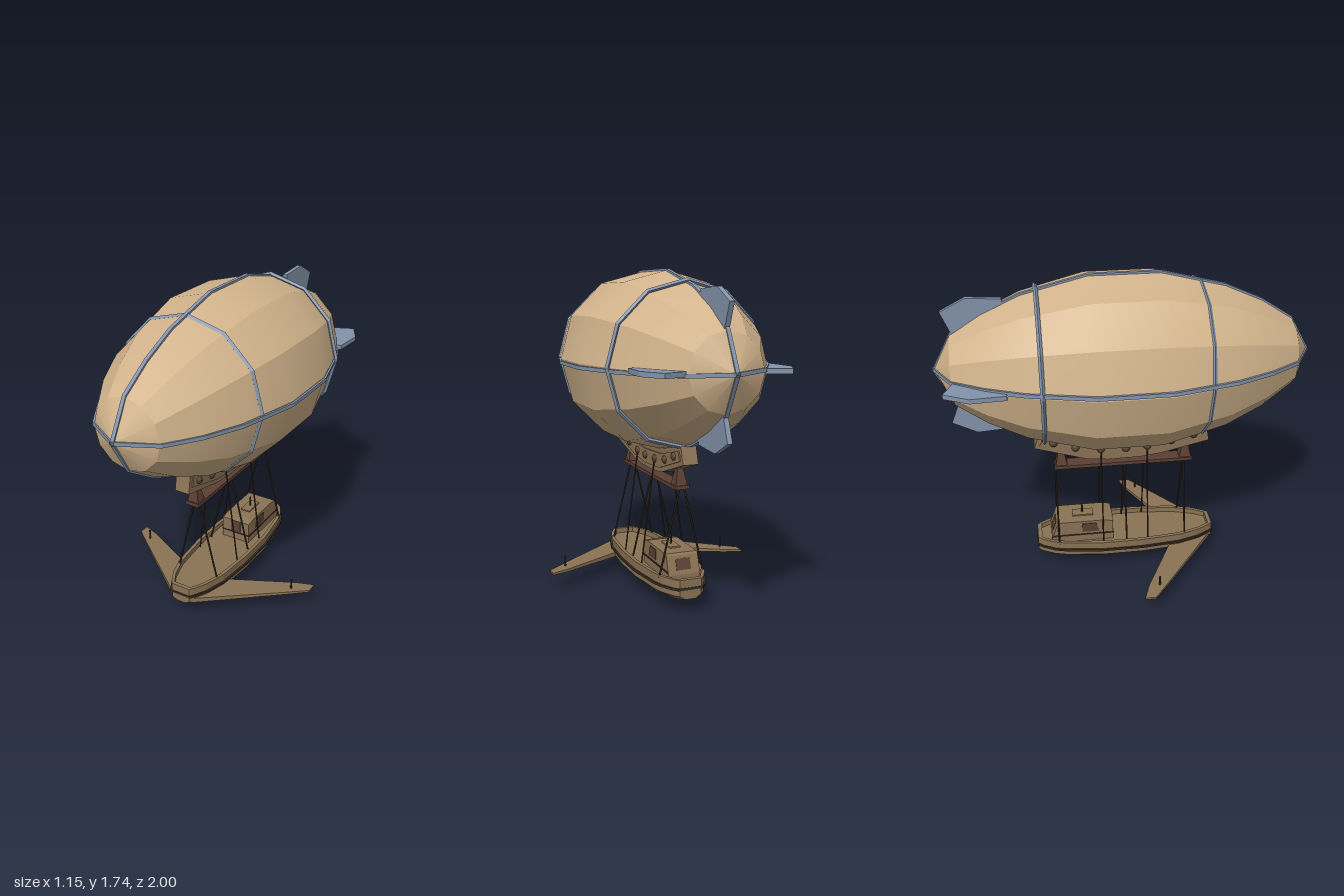
import * as THREE from 'three';
import { toCreasedNormals } from 'three/addons/utils/BufferGeometryUtils.js';

const mat = (name, color, extra = {}) => {
  const m = new THREE.MeshStandardMaterial({ color, ...extra });
  m.name = name;
  return m;
};

// Flat plate from a side outline of [z, y] points, centred on x = 0
function plate(points, width, hole) {
  const shape = new THREE.Shape(points.map(p => new THREE.Vector2(...p)));
  if (hole) shape.holes.push(new THREE.Path(hole.map(p => new THREE.Vector2(...p))));
  return new THREE.ExtrudeGeometry(shape, { depth: width, bevelEnabled: false })
    .translate(0, 0, -width / 2).rotateY(-Math.PI / 2);
}

// Faceted skin through closed cross-sections { z, pts } ordered from back to front
function loft(sections) {
  const pos = [];
  const n = sections[0].pts.length;
  const at = (s, i) => [...sections[s].pts[i % n], sections[s].z];
  for (let s = 0; s < sections.length - 1; s++) {
    for (let i = 0; i < n; i++) {
      const a = at(s, i), b = at(s, i + 1), c = at(s + 1, i + 1), d = at(s + 1, i);
      pos.push(...a, ...b, ...c, ...a, ...c, ...d);
    }
  }
  const last = sections.length - 1;
  for (let i = 1; i < n - 1; i++) {
    pos.push(...at(last, 0), ...at(last, i), ...at(last, i + 1));
    pos.push(...at(0, 0), ...at(0, i + 1), ...at(0, i));
  }
  const g = new THREE.BufferGeometry();
  g.setAttribute('position', new THREE.Float32BufferAttribute(pos, 3));
  g.computeVertexNormals();
  return g;
}

export function createModel() {
  const model = new THREE.Group();
  model.name = 'airship';
  const canvas = mat('canvas tan', 0xd2b48c);
  const steel = mat('blue grey', 0x8494ac);
  const wood = mat('hull wood', 0x8b7355);
  const brown = mat('dark brown', 0x5c4033);
  const dark = mat('rope dark', 0x3b2f25);

  const add = (parent, name, geo, material, x = 0, y = 0, z = 0) => {
    const m = new THREE.Mesh(geo, material);
    m.name = name;
    m.position.set(x, y, z);
    parent.add(m);
    return m;
  };
  const rod = (name, a, b, r, material) => {
    const p = new THREE.Vector3(...a), q = new THREE.Vector3(...b);
    const m = add(model, name, new THREE.CylinderGeometry(r, r, p.distanceTo(q), 6), material);
    m.position.copy(p).add(q).multiplyScalar(0.5);
    m.quaternion.setFromUnitVectors(new THREE.Vector3(0, 1, 0), q.sub(p).normalize());
  };

  // Gas envelope: twelve-sided body along z
  const balloon = new THREE.Group();
  balloon.name = 'balloon';
  balloon.position.y = 1.267;
  model.add(balloon);
  const profile = [[0, -0.992], [0.19, -0.895], [0.295, -0.73], [0.385, -0.53], [0.47, -0.19],
    [0.47, 0.18], [0.385, 0.52], [0.295, 0.72], [0.185, 0.89], [0, 0.992]];
  const body = new THREE.LatheGeometry(profile.map(p => new THREE.Vector2(...p)), 12).rotateX(Math.PI / 2);
  add(balloon, 'envelope', toCreasedNormals(body, 0.36), canvas);

  // Lengthwise bands, the level one slightly tilted
  const outline = grow => {
    const side = profile.map(([r, z]) => [z + Math.sign(z) * (r ? 0 : grow), r ? r + grow : 0]);
    return [...side, ...side.slice(1, -1).reverse().map(([z, r]) => [z, -r])];
  };
  for (const [name, turn] of [['verticalBand', 0], ['levelBand', Math.PI / 2 - 0.04]]) {
    add(balloon, name, plate(outline(0.008), 0.02, outline(-0.02)), steel).rotation.z = turn;
  }

  // Hoops around the envelope
  for (const z of [0.39, -0.45]) {
    const hoop = new THREE.TorusGeometry(0.415, 0.012, 4, 12).toNonIndexed();
    hoop.computeVertexNormals();
    add(balloon, 'hoop', hoop, steel, 0, 0, z);
  }

  // Four tail fins
  const fin = plate([[-0.62, 0.2], [-0.62, 0.37], [-0.8, 0.382], [-0.93, 0.315], [-0.885, 0.2], [-0.86, 0.12]], 0.025);
  for (let i = 0; i < 4; i++) add(balloon, 'tailFin', fin, steel).rotation.z = i * Math.PI / 2;

  // Curved keel with a raised side panel and round studs
  add(model, 'keel', plate([[0.47, 0.755], [0.2, 0.69], [0.08, 0.675], [-0.1, 0.672], [-0.22, 0.685], [-0.505, 0.775],
    [-0.475, 0.865], [-0.25, 0.82], [0, 0.805], [0.25, 0.82], [0.45, 0.87]], 0.084), wood);
  add(model, 'keelPanel', plate([[0.445, 0.785], [0.2, 0.715], [0, 0.695], [-0.2, 0.705], [-0.475, 0.79],
    [-0.455, 0.84], [-0.22, 0.785], [0, 0.775], [0.22, 0.79], [0.425, 0.845]], 0.096), wood);
  const studs = [[0.38, 0.8], [0.255, 0.77], [0.12, 0.745], [0, 0.74], [-0.14, 0.745], [-0.28, 0.765], [-0.4, 0.803]];
  for (const s of [-1, 1]) {
    for (const [z, y] of studs) add(model, 'stud', new THREE.SphereGeometry(0.023, 10, 8), brown, s * 0.042, y, z);
  }

  // Hanging beam on two tapered brackets
  add(model, 'beam', new THREE.BoxGeometry(0.08, 0.02, 0.78), brown, 0, 0.636, -0.01);
  for (const z of [0.34, -0.36]) {
    const bracket = new THREE.CylinderGeometry(0.021, 0.047, 0.095, 4, 1).rotateY(Math.PI / 4).toNonIndexed();
    bracket.computeVertexNormals();
    add(model, 'bracket', bracket, brown, 0, 0.69, z);
  }

  // Suspension ropes
  for (const s of [-1, 1]) {
    for (const z of [0.335, -0.005, -0.395]) {
      rod('beamRope', [s * 0.012, 0.635, z], [s * 0.125, 0.17, z], 0.005, dark);
    }
    for (const z of [0.118, -0.14]) rod('keelRope', [s * 0.05, 0.745, z], [s * 0.125, 0.17, z], 0.004, dark);
  }

  // Boat hull stations: z, half width, bottom height
  const stations = [[-0.515, 0.06, 0.08], [-0.49, 0.085, 0.075], [-0.42, 0.122, 0.055], [-0.36, 0.138, 0.04],
    [-0.15, 0.165, 0.004], [0.08, 0.165, 0.008], [0.3, 0.145, 0.04], [0.42, 0.11, 0.065],
    [0.49, 0.072, 0.08], [0.512, 0.055, 0.085]];
  const last = stations.length - 1;
  const hullSection = (w, bottom, deck) => {
    const inner = w - 0.02, b = Math.min(0.045, w * 0.5);
    const half = [[inner, deck], [inner, 0.185], [w, 0.185], [w * 0.98, 0.1], [b, bottom]];
    return [...half.map(([x, y]) => [-x, y]), ...half.reverse()];
  };
  const hull = [];
  stations.forEach(([z, w, bottom], i) => {
    const solid = { z, pts: hullSection(w, bottom, 0.185) };
    const open = { z, pts: hullSection(w, bottom, 0.155) };
    if (i === 0 || i === last) hull.push(solid);
    else if (i === 1) hull.push(solid, open);
    else if (i === last - 1) hull.push(open, solid);
    else hull.push(open);
  });
  add(model, 'hull', loft(hull), wood);

  // Dark rubbing strake around the hull
  add(model, 'strake', loft(stations.map(([z, w], i) => {
    const x = w + 0.008;
    return { z: z + (i === 0 ? -0.004 : i === last ? 0.004 : 0), pts: [[-x, 0.142], [-x, 0.13], [x, 0.13], [x, 0.142]] };
  })), dark);

  // Cabin with windows and mast
  add(model, 'cabin', plate([[-0.08, 0.15], [-0.08, 0.28], [-0.13, 0.29], [-0.39, 0.29], [-0.402, 0.28], [-0.435, 0.185],
    [-0.435, 0.15]], 0.176), wood);
  add(model, 'cabinTrim', new THREE.BoxGeometry(0.184, 0.008, 0.35), dark, 0, 0.2, -0.252);
  add(model, 'roofHatch', new THREE.BoxGeometry(0.06, 0.01, 0.12), wood, 0, 0.293, -0.25);
  for (const s of [-1, 1]) {
    add(model, 'sideWindow', plate([[-0.16, 0.22], [-0.26, 0.22], [-0.26, 0.275], [-0.18, 0.275]], 0.006), brown, s * 0.089);
  }
  add(model, 'frontDoor', new THREE.BoxGeometry(0.062, 0.07, 0.006), brown, 0, 0.245, -0.08);
  add(model, 'backWindow', new THREE.BoxGeometry(0.08, 0.06, 0.006), brown, 0, 0.236, -0.4175).rotation.x = 0.335;
  rod('mast', [0, 0.285, -0.252], [0, 0.355, -0.252], 0.005, dark);

  // Swept wings, thinning towards the tips, each with a pin
  for (const s of [-1, 1]) {
    const plan = [[0, 0.505], [0.06, 0.5], [0.47, 0.18], [0.575, 0.095], [0.575, 0.035], [0.48, 0.07], [0.11, 0.26], [0, 0.28]];
    const shape = new THREE.Shape(plan.map(([x, z]) => new THREE.Vector2(s * x, z)));
    const wing = new THREE.ExtrudeGeometry(shape, { depth: 1, bevelEnabled: false }).rotateX(Math.PI / 2);
    const p = wing.attributes.position;
    for (let i = 0; i < p.count; i++) {
      const half = 0.015 - 0.016 * Math.abs(p.getX(i));
      p.setY(i, 0.105 + (p.getY(i) > -0.5 ? half : -half));
    }
    wing.computeVertexNormals();
    add(model, 'wing', wing, wood);
    rod('wingPin', [s * 0.48, 0.1, 0.13], [s * 0.48, 0.17, 0.13], 0.005, dark);
  }
  return model;
}
